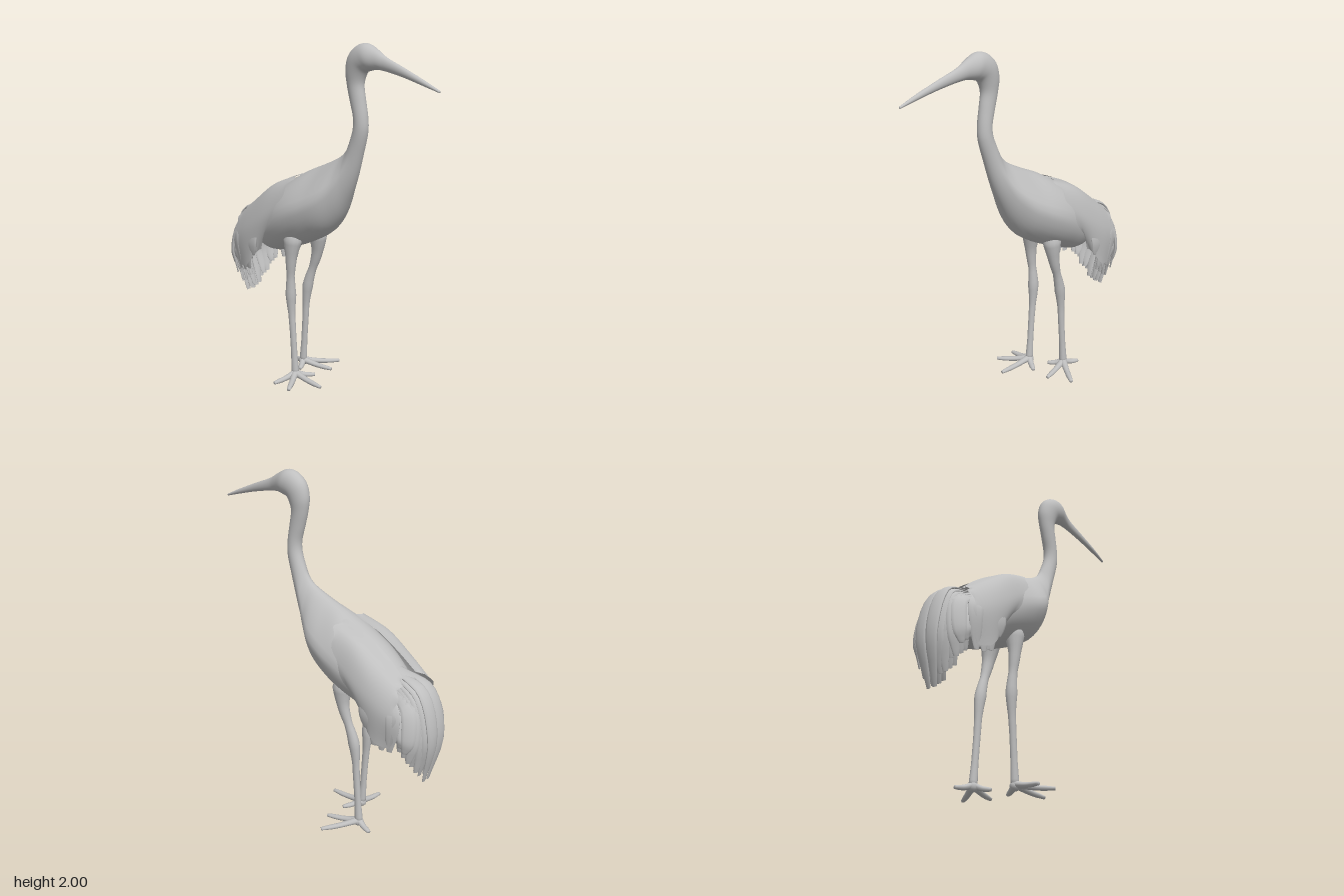
import * as THREE from 'three';

const V = (x, y, z) => new THREE.Vector3(x, y, z);
const plumage = new THREE.MeshStandardMaterial({ color: 0xbfbfbf, side: THREE.DoubleSide });
plumage.name = 'plain grey';

function gridGeometry(pos, index) {
  const g = new THREE.BufferGeometry();
  g.setAttribute('position', new THREE.Float32BufferAttribute(pos, 3));
  g.setIndex(index);
  g.computeVertexNormals();
  return g;
}

function addMesh(parent, geometry, name) {
  const mesh = new THREE.Mesh(geometry, plumage);
  mesh.name = name;
  parent.add(mesh);
  return mesh;
}

// Closed skin over elliptical rings: centre c, half axes a and b; pinch narrows the +a end
function loft(rings, sides) {
  const pos = [], index = [], n = rings.length;
  const along = rings[1].c.clone().sub(rings[0].c);
  const flip = rings[1].a.clone().cross(rings[1].b).dot(along) < 0;
  const tri = (p, q, r) => (flip ? index.push(p, r, q) : index.push(p, q, r));
  for (const { c, a, b, pinch = 0 } of rings) {
    for (let j = 0; j < sides; j++) {
      const t = (j / sides) * Math.PI * 2, ca = Math.cos(t);
      const sb = Math.sin(t) * (1 - pinch * Math.max(0, ca));
      const p = c.clone().addScaledVector(a, ca).addScaledVector(b, sb);
      pos.push(p.x, p.y, p.z);
    }
  }
  pos.push(...rings[0].c.toArray(), ...rings[n - 1].c.toArray());
  for (let j = 0; j < sides; j++) {
    const k = (j + 1) % sides;
    for (let i = 0; i < n - 1; i++) {
      const p = i * sides, q = p + sides;
      tri(p + j, p + k, q + j);
      tri(p + k, q + k, q + j);
    }
    tri(n * sides, k, j);
    tri(n * sides + 1, (n - 1) * sides + j, (n - 1) * sides + k);
  }
  return gridGeometry(pos, index);
}

// Tapered limb or blade along a path; normal sets the flat side, flat the thickness ratio
function limb(points, radii, normal, flat = 1, steps = 14, sides = 10) {
  const curve = new THREE.CatmullRomCurve3(points);
  const rings = [];
  for (let i = 0; i <= steps; i++) {
    const t = i / steps, f = t * (radii.length - 1);
    const k = Math.min(Math.floor(f), radii.length - 2);
    const r = THREE.MathUtils.lerp(radii[k], radii[k + 1], f - k);
    const dir = curve.getTangent(t);
    const b = dir.clone().cross(normal).normalize();
    const a = b.clone().cross(dir);
    rings.push({ c: curve.getPoint(t), a: a.multiplyScalar(r * flat), b: b.multiplyScalar(r) });
  }
  return loft(rings, sides);
}

// Body, neck, head and beak: top z, top y, bottom z, bottom y, half width
const BODY = [
  [-0.62, 0.92, -0.60, 0.86, 0.03], [-0.55, 1.00, -0.50, 0.76, 0.12],
  [-0.40, 1.13, -0.40, 0.75, 0.175], [-0.28, 1.20, -0.30, 0.785, 0.195],
  [-0.14, 1.275, -0.20, 0.82, 0.197], [-0.03, 1.32, -0.10, 0.865, 0.182],
  [0.05, 1.355, 0.00, 0.925, 0.153], [0.11, 1.39, 0.077, 1.015, 0.108],
  [0.145, 1.43, 0.14, 1.13, 0.075], [0.162, 1.46, 0.20, 1.26, 0.055],
  [0.185, 1.51, 0.245, 1.39, 0.045], [0.20, 1.56, 0.285, 1.53, 0.042],
  [0.20, 1.61, 0.285, 1.61, 0.041], [0.178, 1.69, 0.27, 1.71, 0.041],
  [0.155, 1.78, 0.26, 1.78, 0.043], [0.146, 1.86, 0.27, 1.82, 0.05],
  [0.17, 1.94, 0.29, 1.85, 0.056], [0.23, 1.99, 0.31, 1.855, 0.058],
  [0.29, 2.00, 0.33, 1.86, 0.056], [0.36, 1.97, 0.37, 1.865, 0.038],
  [0.42, 1.935, 0.42, 1.86, 0.025], [0.55, 1.885, 0.55, 1.835, 0.018],
  [0.70, 1.825, 0.70, 1.797, 0.013], [0.79, 1.785, 0.79, 1.773, 0.007],
];

function bodyGeometry() {
  const { smoothstep } = THREE.MathUtils;
  const top = new THREE.CatmullRomCurve3(BODY.map((r) => V(r[4], r[1], r[0])));
  const low = new THREE.CatmullRomCurve3(BODY.map((r) => V(r[4], r[3], r[2])));
  const rings = [], steps = 115;
  for (let i = 0; i <= steps; i++) {
    const p = top.getPoint(i / steps), q = low.getPoint(i / steps);
    const c = p.clone().add(q).multiplyScalar(0.5);
    const a = p.clone().sub(c), w = p.x;
    a.x = 0;
    // Shoulders narrow towards the base of the neck
    const pinch = (0.1 + 0.38 * smoothstep(c.z, -0.3, -0.05)) * (1 - smoothstep(c.y, 1.25, 1.45));
    // The head and beak turn slightly to one side
    c.x = -0.012 * smoothstep(c.y, 1.3, 1.75) - 0.014 * smoothstep(c.z, 0.35, 0.79);
    rings.push({ c, a, b: V(w, 0, 0), pinch });
  }
  return loft(rings, 32);
}

// Wing rows run from the shoulder back; each goes from the spine over the side to the lower edge
const WING = [
  [[0.035, 1.252, -0.18], [0.138, 1.225, -0.17], [0.204, 1.06, -0.24], [0.17, 0.78, -0.42]],
  [[0.042, 1.195, -0.33], [0.148, 1.168, -0.33], [0.215, 0.98, -0.38], [0.2, 0.735, -0.45]],
  [[0.045, 1.11, -0.47], [0.15, 1.07, -0.47], [0.213, 0.9, -0.51], [0.203, 0.67, -0.51]],
  [[0.055, 1.02, -0.58], [0.14, 0.97, -0.61], [0.195, 0.83, -0.63], [0.18, 0.65, -0.6]],
];

function wingGeometry(side) {
  const rows = WING.map((r) => new THREE.CatmullRomCurve3(r.map((p) => V(...p))));
  const pos = [], index = [], nu = 24, nv = 24, w = nv + 1;
  for (let j = 0; j <= nu; j++) {
    for (let i = 0; i <= nv; i++) {
      const across = i / nv;
      const line = new THREE.CatmullRomCurve3(rows.map((c) => c.getPoint(across)));
      const p = line.getPoint(j / nu);
      // Ragged front and rear edges
      if (j === 0 || j === nu) p.z += 0.012 * Math.sin(i * 1.1);
      pos.push(p.x * side, p.y, p.z);
      if (i < nv && j < nu) {
        const k = j * w + i;
        if (side > 0) index.push(k, k + w, k + 1, k + 1, k + w, k + w + 1);
        else index.push(k, k + 1, k + w, k + 1, k + w + 1, k + w);
      }
    }
  }
  return gridGeometry(pos, index);
}

function addFeathers(group, side) {
  const blade = [0.01, 0.034, 0.043, 0.042, 0.034, 0.014];
  const mirror = (p) => p.multiply(V(side, 1, 1));
  // Flight feathers hanging from the wing edge
  for (let i = 0; i < 7; i++) {
    const s = i / 6, drop = i % 2 ? 0.02 : 0;
    const pts = [
      V(0.2 - 0.05 * s, 0.93 + 0.02 * s, -0.42 - 0.15 * s),
      V(0.209 - 0.02 * s, 0.82 + 0.02 * s, -0.45 - 0.165 * s),
      V(0.2 - 0.025 * s, 0.74 - 0.11 * Math.min(1, 2.5 * s) + drop, -0.45 - 0.14 * s),
    ].map(mirror);
    addMesh(group, limb(pts, blade, V(side, 0.15, -0.4 * s), 0.2), 'flightFeather');
  }
  // Long drooping plumes in three layers, the inner ones set further forward
  for (let layer = 0; layer < 3; layer++) {
    for (let i = 0; i < 6; i++) {
      const s = i / 5, inset = layer * 0.03, lift = layer * 0.025 + (i % 2) * 0.03;
      const pts = [
        V(0.03 + 0.07 * s, 1.03 - 0.08 * s - inset, -0.52 - 0.02 * s),
        V(0.033 + 0.095 * s, 0.965 - 0.08 * s - inset, -0.69 + 0.025 * s + inset),
        V(0.038 + 0.117 * s, 0.72, -0.77 + 0.075 * s + inset),
        V(0.02 + 0.135 * s, 0.43 + 0.18 * s + lift, -0.715 + 0.04 * s + inset),
      ].map(mirror);
      addMesh(group, limb(pts, blade, V(side * (0.1 + s), 0.5, -0.9), 0.28), 'plume');
    }
  }
}

// Leg: path from hip to ankle, then toes given as ground targets [x, z]
function addLeg(group, path, toes, name) {
  const leg = new THREE.Group();
  leg.name = name;
  const radii = [0.025, 0.058, 0.037, 0.025, 0.034, 0.022, 0.02, 0.02, 0.025];
  addMesh(leg, limb(path, radii, V(1, 0, 0), 0.9, 32, 14), 'shank');
  const foot = path[path.length - 1];
  const ankle = addMesh(leg, new THREE.SphereGeometry(0.028, 14, 10), 'ankle');
  ankle.position.set(foot.x, 0.03, foot.z);
  for (const [x, z] of toes) {
    const mid = V((foot.x + x) / 2, 0.02, (foot.z + z) / 2);
    const pts = [V(foot.x, 0.037, foot.z), mid, V(x, 0.014, z)];
    addMesh(leg, limb(pts, [0.024, 0.019, 0.017, 0.016, 0.011], V(0, 1, 0), 0.85), 'toe');
  }
  group.add(leg);
}

export function createModel() {
  const model = new THREE.Group();
  model.name = 'wadingBird';
  addMesh(model, bodyGeometry(), 'bodyNeckHeadAndBeak');

  for (const side of [1, -1]) {
    const wing = new THREE.Group();
    wing.name = side > 0 ? 'leftWing' : 'rightWing';
    addMesh(wing, wingGeometry(side), 'wingCover');
    addFeathers(wing, side);
    model.add(wing);
  }

  // Tail feather on the centre line
  const tail = [V(0, 1.05, -0.46), V(0, 0.96, -0.66), V(0, 0.74, -0.755), V(0, 0.46, -0.71)];
  addMesh(model, limb(tail, [0.03, 0.06, 0.06, 0.05, 0.02], V(0, 0.5, -0.9), 0.25), 'tailFeather');

  addLeg(model,
    [V(0.08, 0.96, -0.185), V(0.092, 0.76, -0.2), V(0.08, 0.53, -0.272), V(0.078, 0.28, -0.295), V(0.078, 0.03, -0.315)],
    [[0.265, -0.185], [0.13, -0.12], [0.0, -0.26], [0.11, -0.415]], 'leftLeg');
  addLeg(model,
    [V(-0.09, 0.96, -0.2), V(-0.108, 0.76, -0.213), V(-0.1, 0.52, -0.228), V(-0.1, 0.28, -0.212), V(-0.1, 0.03, -0.195)],
    [[-0.265, -0.075], [-0.11, 0.03], [0.0, -0.13], [-0.26, -0.205]], 'rightLeg');
  return model;
}
